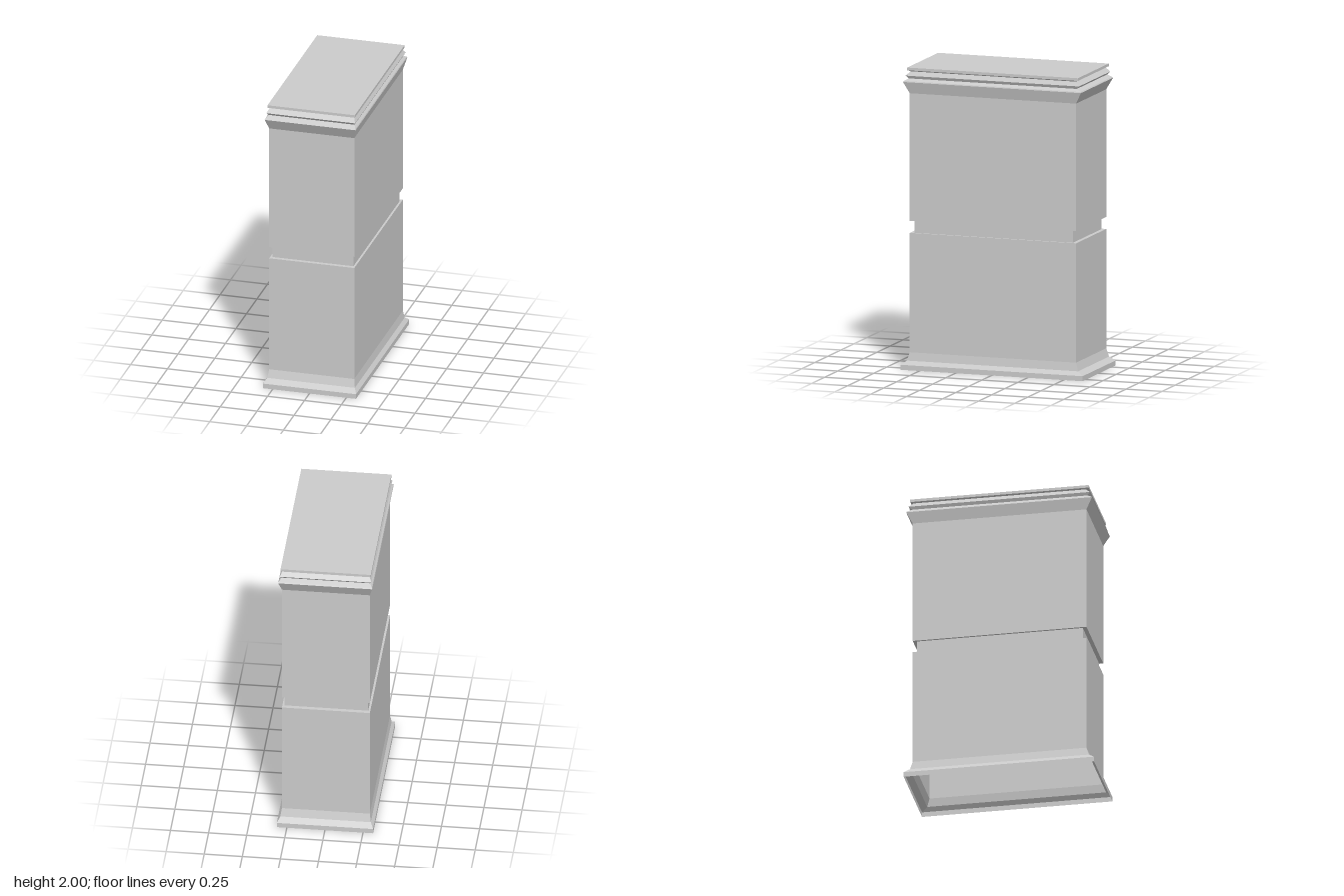
import * as THREE from 'three';

// Rectangular plinth: every section is a 1:2 rectangle, so each part is a
// four-sided lathe of [half depth, height] points, squeezed to half in x.
export function createModel() {
  const group = new THREE.Group();
  const material = new THREE.MeshStandardMaterial({
    color: 0xcccccc, flatShading: true, side: THREE.DoubleSide,
  });

  function addSection(name, profile) {
    const points = profile.map(([r, y]) => new THREE.Vector2(r * Math.SQRT2, y));
    const lathe = new THREE.LatheGeometry(points, 4, Math.PI / 4);
    lathe.scale(0.5, 1, 1);
    const geometry = lathe.toNonIndexed();
    geometry.computeVertexNormals();
    const mesh = new THREE.Mesh(geometry, material);
    mesh.name = name;
    group.add(mesh);
  }

  const body = 0.577, groove = 0.55;

  // Flared foot, open underneath
  addSection('baseMoulding', [[0.632, 0], [0.632, 0.033], [0.594, 0.06], [body, 0.115]]);
  // Two plain blocks with a recessed band between them
  addSection('lowerBody', [[body, 0.115], [body, 0.905]]);
  addSection('recessedBand', [[body, 0.905], [groove, 0.905], [groove, 0.985], [body, 0.985]]);
  addSection('upperBody', [[body, 0.985], [body, 1.83]]);
  // Stepped, sharp-edged cornice
  addSection('cornice', [
    [body, 1.83], [0.617, 1.905], [0.612, 1.912], [0.582, 1.928],
    [0.602, 1.947], [0.572, 1.975], [0.592, 1.982],
  ]);
  addSection('topSlabEdge', [[0.592, 1.982], [0.592, 2]]);

  // Flat top
  const top = new THREE.Mesh(new THREE.PlaneGeometry(0.592, 1.184).rotateX(-Math.PI / 2), material);
  top.name = 'topSurface';
  top.position.y = 2;
  group.add(top);

  return group;
}
